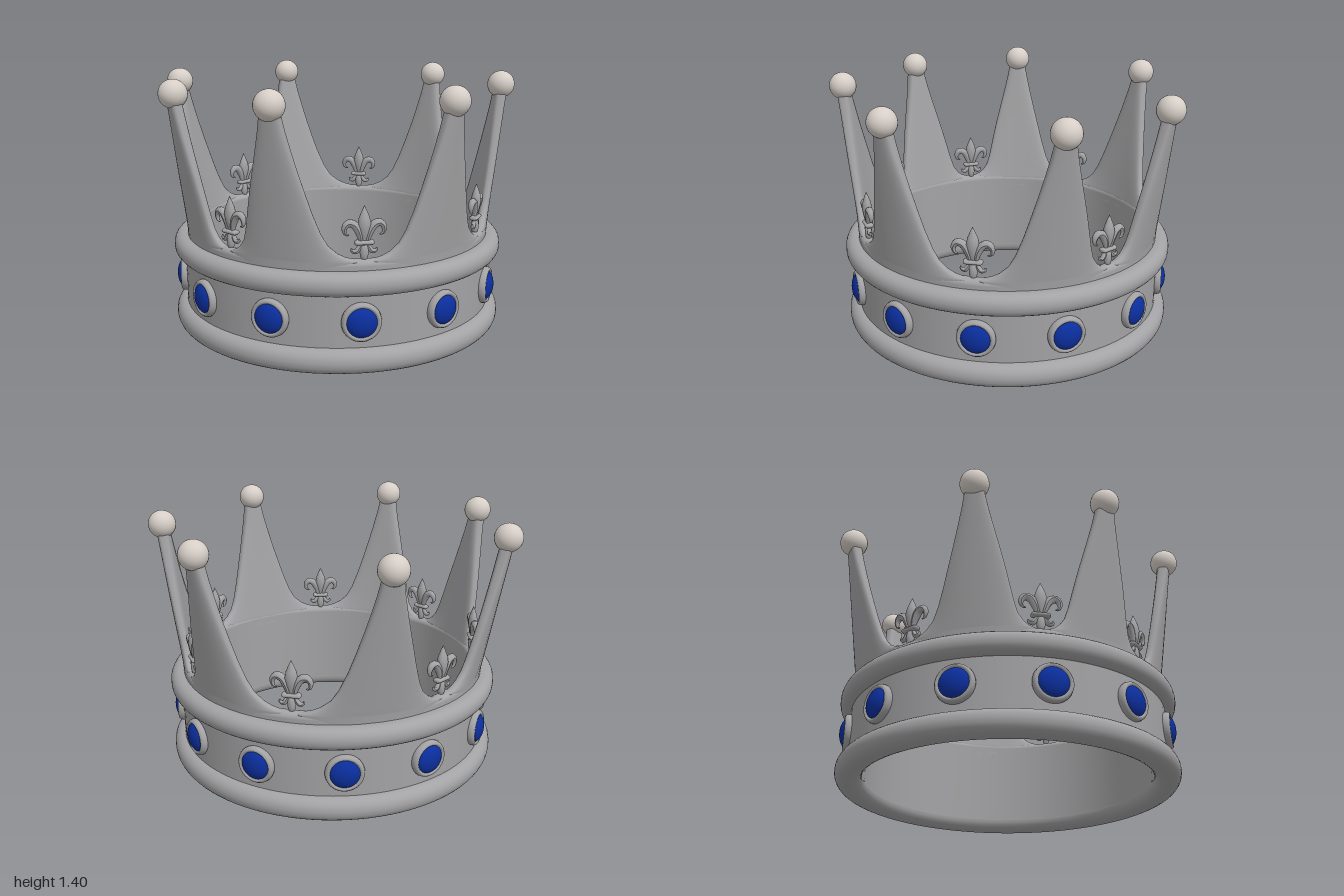
import * as THREE from 'three';

const metal = new THREE.MeshStandardMaterial({ color: 0xa3a2a4 });
metal.name = 'silver';
const pearl = new THREE.MeshStandardMaterial({ color: 0xd6cec7 });
pearl.name = 'pearl';
const blue = new THREE.MeshStandardMaterial({ color: 0x0b2f9f });
blue.name = 'sapphire';

const rad = THREE.MathUtils.degToRad;
const BASE_R = 0.82;

function add(parent, name, geometry, material, x = 0, y = 0, z = 0) {
  const mesh = new THREE.Mesh(geometry, material);
  mesh.name = name;
  mesh.position.set(x, y, z);
  parent.add(mesh);
  return mesh;
}

// Ring with a rounded-rectangle section
function ring(r0, r1, y0, y1, c) {
  const pts = [];
  const corners = [[r1 - c, y0 + c, -90], [r1 - c, y1 - c, 0], [r0 + c, y1 - c, 90], [r0 + c, y0 + c, 180]];
  for (const [r, y, start] of corners) {
    for (let i = 0; i <= 6; i++) {
      const a = rad(start + i * 15);
      pts.push(new THREE.Vector2(r + c * Math.cos(a), y + c * Math.sin(a)));
    }
  }
  pts.push(pts[0].clone());
  return new THREE.LatheGeometry(pts, 96);
}

// Curved spike: rounded cross-sections narrowing upward from the two valley half widths
const WIDTHS = [[0.5, 0.41], [0.56, 0.41], [0.567, 0.375], [0.58, 0.325], [0.6, 0.285], [0.64, 0.24], [0.7, 0.208],
  [0.8, 0.173], [0.9, 0.144], [1.0, 0.116], [1.1, 0.09], [1.2, 0.066], [1.3, 0.047]];

function spikeGeometry(angle, leftGap, rightGap, tipR) {
  const N = 40, pos = [], idx = [];
  WIDTHS.forEach(([y, w], i) => {
    const t = Math.max(0, (y - 0.53) / 0.79);
    const c = BASE_R + (tipR - BASE_R) * t;
    const flare = Math.min(1, ((1.3 - y) / 0.74) ** 3);
    for (let j = 0; j < N; j++) {
      const th = (j / N) * Math.PI * 2, cs = Math.cos(th), sn = Math.sin(th);
      const gap = cs > 0 ? leftGap : rightGap;
      const half = w * THREE.MathUtils.lerp(1, gap * BASE_R / 0.41, flare);
      const a = angle + Math.sign(cs) * Math.abs(cs) ** 0.75 * half / c;
      const r = c + Math.sign(sn) * Math.abs(sn) ** 0.6 * 0.035;
      pos.push(r * Math.sin(a), y, r * Math.cos(a));
      if (i < WIDTHS.length - 1) {
        const p = i * N + j, q = i * N + (j + 1) % N;
        idx.push(p, p + N, q, q, p + N, q + N);
      }
    }
  });
  const g = new THREE.BufferGeometry();
  g.setAttribute('position', new THREE.Float32BufferAttribute(pos, 3));
  g.setIndex(idx);
  g.computeVertexNormals();
  return g;
}

// Tube along a flat path with a radius that swells and tapers
function petal(points, radiusAt) {
  const curve = new THREE.CatmullRomCurve3(points.map(([x, y]) => new THREE.Vector3(x, y, 0)));
  const S = 18, R = 10;
  const g = new THREE.TubeGeometry(curve, S, 1, R);
  const p = g.attributes.position, v = new THREE.Vector3();
  for (let i = 0; i <= S; i++) {
    const c = curve.getPointAt(i / S);
    for (let j = 0; j <= R; j++) {
      const k = i * (R + 1) + j;
      v.fromBufferAttribute(p, k).sub(c).multiplyScalar(radiusAt(i / S)).add(c);
      p.setXYZ(k, v.x, v.y, v.z);
    }
  }
  g.computeVertexNormals();
  return g;
}

// Lily ornament, facing +z, with y measured from its foot
function lily() {
  const g = new THREE.Group();
  g.name = 'lilyOrnament';
  const leaf = [[0, 0.08], [0.013, 0.1], [0.026, 0.14], [0.034, 0.18], [0.027, 0.215], [0.012, 0.25], [0, 0.275]];
  const lathe = new THREE.LatheGeometry(leaf.map(([x, y]) => new THREE.Vector2(x, y)), 16);
  add(g, 'centrePetal', lathe, metal).scale.z = 0.8;
  const foot = new THREE.SphereGeometry(0.022, 14, 10);
  foot.scale(1, 2.2, 0.9);
  add(g, 'footPetal', foot, metal, 0, 0.042);
  const clasp = new THREE.CapsuleGeometry(0.013, 0.075, 4, 12);
  clasp.rotateZ(Math.PI / 2);
  clasp.scale(1, 1, 1.9);
  add(g, 'clasp', clasp, metal, 0, 0.09);
  for (const s of [1, -1]) {
    const side = [[0.014, 0.09], [0.026, 0.14], [0.05, 0.18], [0.08, 0.187], [0.098, 0.163], [0.092, 0.133], [0.074, 0.128]];
    const curl = [[0.014, 0.09], [0.024, 0.066], [0.042, 0.045], [0.06, 0.05], [0.062, 0.064]];
    add(g, 'sidePetal', petal(side.map(([x, y]) => [s * x, y]),
      t => 0.003 + 0.018 * Math.sin(Math.PI * Math.min(1, 0.12 + t * 0.88))), metal);
    add(g, 'lowerCurl', petal(curl.map(([x, y]) => [s * x, y]),
      t => 0.003 + 0.01 * Math.sin(Math.PI * t)), metal);
  }
  return g;
}

export function createModel() {
  const crown = new THREE.Group();
  crown.name = 'crown';

  // Circlet
  add(crown, 'lowerRail', ring(0.785, 0.93, 0, 0.13, 0.06), metal);
  add(crown, 'band', ring(0.787, 0.87, 0.05, 0.48, 0.01), metal);
  add(crown, 'upperRail', ring(0.787, 0.93, 0.4, 0.52, 0.055), metal);
  add(crown, 'collar', ring(0.785, 0.855, 0.03, 0.57, 0.03), metal);

  // Spikes with pearls: angle from the front, distance of the tip
  const spikes = [[0, 0.915], [56.8, 0.935], [101.1, 0.937], [162.5, 0.965], [216.2, 0.965], [258.9, 0.937], [302.9, 0.937]];
  const n = spikes.length;
  spikes.forEach(([deg, tipR], i) => {
    const next = (spikes[(i + 1) % n][0] - deg + 360) % 360;
    const prev = (deg - spikes[(i + n - 1) % n][0] + 360) % 360;
    const a = rad(deg);
    add(crown, 'spike', spikeGeometry(a, rad(next / 2), rad(prev / 2), tipR), metal);
    add(crown, 'pearl', new THREE.SphereGeometry(0.076, 32, 20), pearl,
      tipR * Math.sin(a), 1.325, tipR * Math.cos(a));
    // Lily in the valley after each spike
    const m = a + rad(next / 2);
    const ornament = lily();
    ornament.position.set(0.815 * Math.sin(m), 0.562, 0.815 * Math.cos(m));
    ornament.rotation.y = m;
    crown.add(ornament);
  });

  // Twelve set stones around the band
  for (let i = 0; i < 12; i++) {
    const setting = new THREE.Group();
    setting.name = 'setStone';
    setting.rotation.y = rad(i * 30);
    const bezel = add(setting, 'bezel', new THREE.TorusGeometry(0.086, 0.015, 10, 36), metal, 0, 0.267, 0.876);
    bezel.scale.z = 1.7;
    const dome = new THREE.SphereGeometry(0.083, 28, 10, 0, Math.PI * 2, 0, Math.PI / 2);
    dome.rotateX(Math.PI / 2);
    add(setting, 'stone', dome, blue, 0, 0.267, 0.876).scale.z = 0.56;
    crown.add(setting);
  }
  return crown;
}
